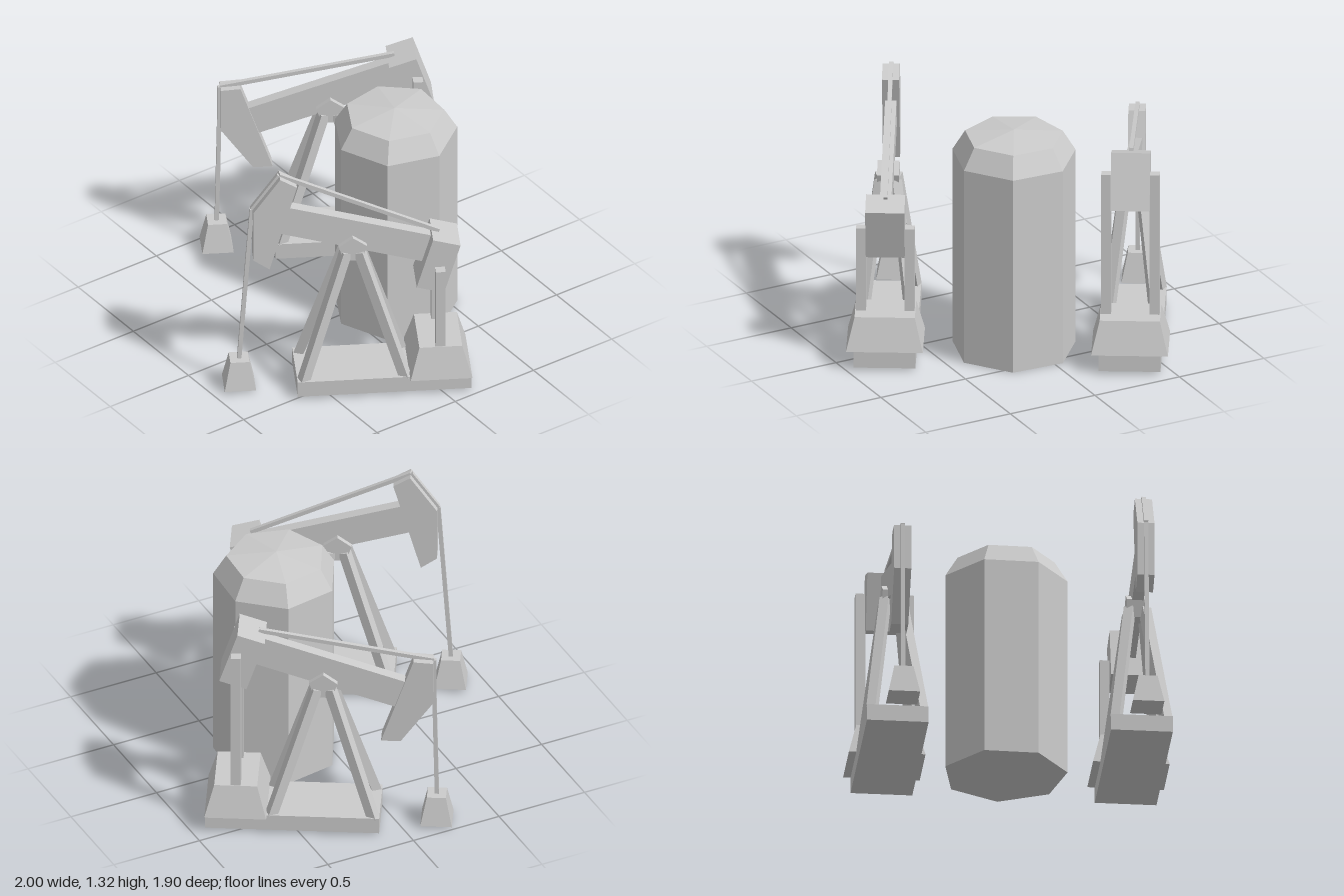
import * as THREE from 'three';

const mat = new THREE.MeshStandardMaterial({ color: 0xcccccc, flatShading: true });

function add(parent, name, geometry, x = 0, y = 0, z = 0) {
  const mesh = new THREE.Mesh(geometry, mat);
  mesh.name = name;
  mesh.position.set(x, y, z);
  parent.add(mesh);
  return mesh;
}

// Box whose top face is shrunk to topW x topD
function frustum(w, h, d, topW, topD) {
  const g = new THREE.BoxGeometry(w, h, d);
  const p = g.attributes.position;
  for (let i = 0; i < p.count; i++) {
    if (p.getY(i) > 0) p.setXYZ(i, Math.sign(p.getX(i)) * topW / 2, h / 2, Math.sign(p.getZ(i)) * topD / 2);
  }
  g.computeVertexNormals();
  return g;
}

// Square bar from a to b, in the parent's own frame
function bar(parent, name, a, b, t) {
  const from = new THREE.Vector3(...a), to = new THREE.Vector3(...b);
  const mid = from.clone().add(to).multiplyScalar(0.5);
  const mesh = add(parent, name, new THREE.BoxGeometry(t, t, from.distanceTo(to)), mid.x, mid.y, mid.z);
  mesh.quaternion.setFromRotationMatrix(new THREE.Matrix4().lookAt(to, from, mesh.up));
}

// Side profile given as [z, y] points, extruded across x
function sideProfile(points, width) {
  const shape = new THREE.Shape(points.map(([z, y]) => new THREE.Vector2(z, y)));
  const g = new THREE.ExtrudeGeometry(shape, { depth: width, bevelEnabled: false });
  g.translate(0, 0, -width / 2);
  g.rotateY(-Math.PI / 2);
  return g;
}

const PIVOT_Y = 0.852, PIVOT_Z = 0.02, BLOCK_Z = -0.432;

// One pump, its head towards +z; tilt > 0 lowers the head
function createPump(name, tilt, postTop) {
  const pump = new THREE.Group();
  pump.name = name;

  // Base, rear block and wellhead
  add(pump, 'basePlate', new THREE.BoxGeometry(0.324, 0.09, 0.912), 0, 0.061, -0.137);
  add(pump, 'rearBlock', frustum(0.402, 0.178, 0.324, 0.315, 0.225), 0, 0.194, BLOCK_Z);
  add(pump, 'wellhead', frustum(0.165, 0.16, 0.165, 0.1, 0.1), 0, 0.095, 0.612);

  // Splayed legs and rear posts
  for (const sx of [-1, 1]) {
    for (const sz of [-1, 1]) {
      bar(pump, 'leg', [sx * 0.132, 0.09, PIVOT_Z + sz * 0.268], [sx * 0.04, 0.835, PIVOT_Z + sz * 0.036], 0.05);
    }
    add(pump, 'rearPost', new THREE.BoxGeometry(0.052, postTop - 0.27, 0.052), sx * 0.127, (postTop + 0.27) / 2, BLOCK_Z);
  }

  // Five-sided pivot hub with a corner at the top
  const pentagon = [0, 1, 2, 3, 4].map((i) => {
    const a = Math.PI / 2 + i * Math.PI * 0.4;
    return [0.078 * Math.cos(a), 0.078 * Math.sin(a)];
  });
  add(pump, 'pivotHub', sideProfile(pentagon, 0.115), 0, PIVOT_Y, PIVOT_Z);

  // Rocking beam with head, counterweight and cable
  const rocker = new THREE.Group();
  rocker.name = 'rocker';
  rocker.position.set(0, PIVOT_Y, PIVOT_Z);
  rocker.rotation.x = tilt;
  pump.add(rocker);
  add(rocker, 'beam', new THREE.BoxGeometry(0.06, 0.167, 0.82), 0, 0.083, 0);
  add(rocker, 'head', sideProfile(
    [[0.395, 0.308], [0.39, -0.22], [0.488, -0.185], [0.573, 0.1], [0.495, 0.335]], 0.09));
  add(rocker, 'counterweight', new THREE.BoxGeometry(0.205, 0.305, 0.15), 0, 0.032, -0.455);
  const top = [0, 0.335, 0.498], front = [0, 0.1, 0.577];
  bar(rocker, 'topCable', [0, 0.19, -0.42], top, 0.022);
  bar(rocker, 'headCable', top, front, 0.022);

  // Cable hanging from the head to the wellhead
  const hang = new THREE.Vector3(...front).applyEuler(rocker.rotation).add(rocker.position);
  bar(pump, 'hangingCable', hang.toArray(), [0, 0.165, 0.612], 0.022);
  return pump;
}

export function createModel() {
  const model = new THREE.Group();
  model.name = 'oilPumpsAndTank';

  // Seven-sided tank with a sloped shoulder and shallow roof
  const profile = [[0, 0], [0.33, 0], [0.33, 1.1], [0.262, 1.213], [0, 1.245]]
    .map(([r, y]) => new THREE.Vector2(r, y));
  add(model, 'tank', new THREE.LatheGeometry(profile, 7, -0.05), 0.085, 0, -0.257);

  // Two pumps side by side, rocking in opposite directions
  const pumps = [
    ['rightPump', 18.2, 1.08, -0.581, -0.336],
    ['leftPump', -16.4, 0.752, 0.529, 0.304],
  ];
  for (const [name, tilt, postTop, x, z] of pumps) {
    const pump = createPump(name, THREE.MathUtils.degToRad(tilt), postTop);
    pump.position.set(x, 0, z);
    pump.rotation.y = -Math.PI / 6;
    model.add(pump);
  }
  return model;
}
